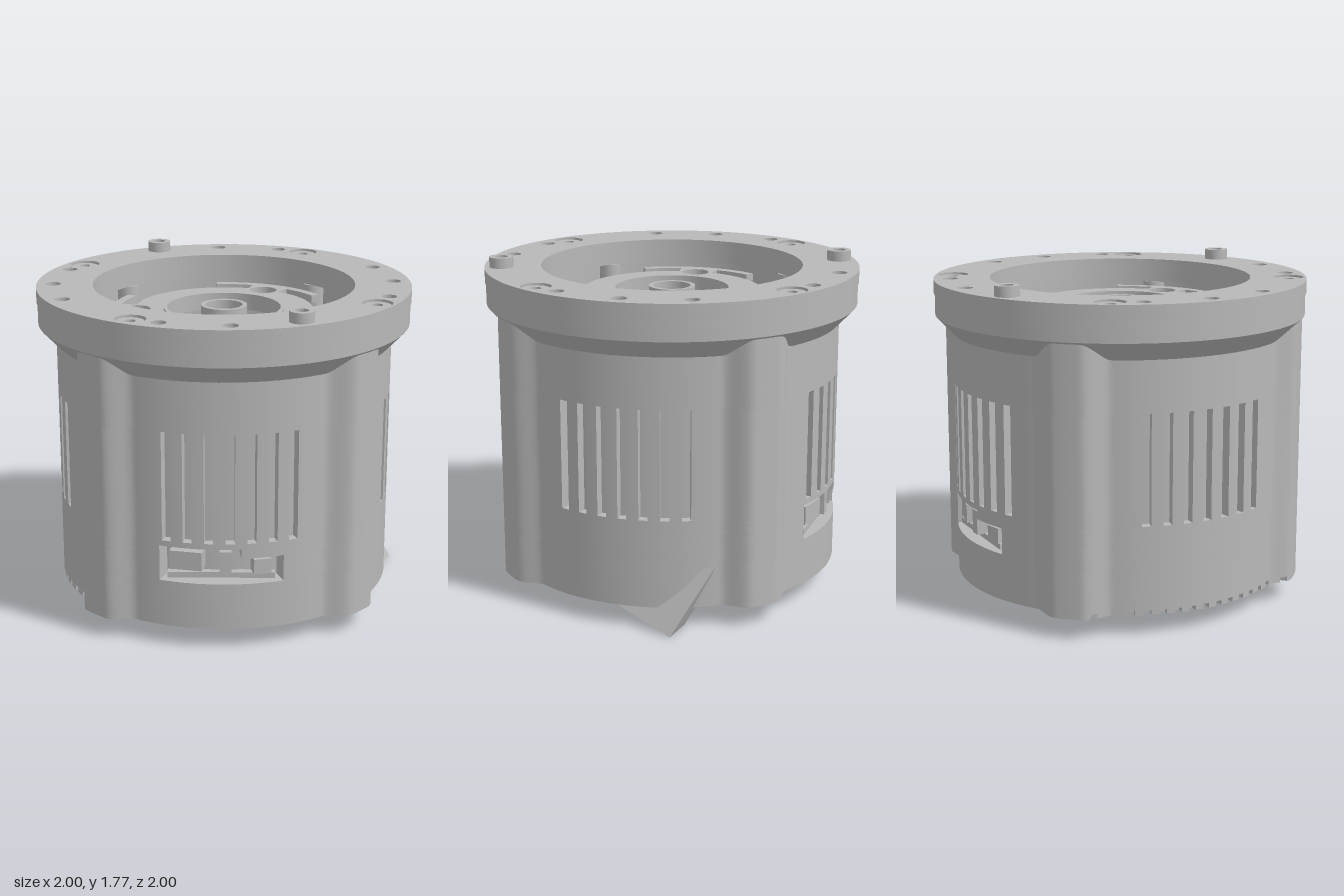
import * as THREE from 'three';
import { toCreasedNormals } from 'three/addons/utils/BufferGeometryUtils.js';
import { ConvexGeometry } from 'three/addons/geometries/ConvexGeometry.js';

const RAD = Math.PI / 180;
// Plan point: angle in degrees from +z towards +x, mapped into the extrusion plane
const plan = (deg, r) => new THREE.Vector2(r * Math.sin(deg * RAD), -r * Math.cos(deg * RAD));
const circle = (r, deg = 0, dist = 0) => {
  const c = plan(deg, dist);
  return new THREE.Path().absarc(c.x, c.y, r, 0, Math.PI * 2, true);
};

// Round body with four raised lobes on the axes
function bodyRadius(deg) {
  const off = Math.abs(((deg + 45) % 90 + 90) % 90 - 45);
  return 0.9 + 0.085 * (1 - THREE.MathUtils.smoothstep(off, 4, 13));
}

// Body outline with rectangular notches [startDeg, endDeg, floorRadius]
function bodyShape(notches = []) {
  const pts = [];
  for (let i = 0; i < 360; i++) {
    if (!notches.some(([a, b]) => i >= a && i <= b)) pts.push([i, bodyRadius(i)]);
  }
  for (const [a, b, r] of notches) {
    pts.push([a, bodyRadius(a)], [a, r]);
    for (let i = Math.floor(a) + 1; i < b; i++) pts.push([i, r]);
    pts.push([b, r], [b, bodyRadius(b)]);
  }
  pts.sort((p, q) => p[0] - q[0]);
  return new THREE.Shape(pts.map(([d, r]) => plan(d, r)));
}

export function createModel() {
  const model = new THREE.Group();
  const grey = new THREE.MeshStandardMaterial({ color: 0xb8b8b8 });
  grey.name = 'grey';

  const add = (name, geometry, x = 0, y = 0, z = 0) => {
    const mesh = new THREE.Mesh(geometry, grey);
    mesh.name = name;
    mesh.position.set(x, y, z);
    model.add(mesh);
    return mesh;
  };
  const addPolar = (name, geometry, deg, r, y) =>
    add(name, geometry, r * Math.sin(deg * RAD), y, r * Math.cos(deg * RAD));
  const slab = (name, shape, y0, y1, holes = []) => {
    shape.holes.push(...holes);
    const g = new THREE.ExtrudeGeometry(shape, { depth: y1 - y0, bevelEnabled: false, curveSegments: 48 });
    g.rotateX(-Math.PI / 2);
    return add(name, toCreasedNormals(g, 0.5), 0, y0, 0);
  };
  const lathe = (profile, segments = 96) => toCreasedNormals(
    new THREE.LatheGeometry(profile.map(([r, y]) => new THREE.Vector2(r, y)), segments), 0.4);
  const tube = (inner, outer, y0, y1, seg = 32) =>
    lathe([[inner, y0], [outer, y0], [outer, y1], [inner, y1], [inner, y0]], seg);

  // Underside with cooling grooves that open through the rim
  const rimNotches = [], underHoles = [circle(0.11)];
  for (let i = 0; i < 4; i++) underHoles.push(circle(0.04, i * 90, 0.88));
  for (let j = -7; j <= 7; j++) {
    const off = j * 0.075;
    const mid = 315 + Math.asin(off / 0.86) / RAD;
    rimNotches.push([mid - 1.1, mid + 1.1, 0.86]);
    const end = Math.sqrt(0.84 ** 2 - off * off);
    const groove = [[off - 0.016, 0.36], [off + 0.016, 0.36], [off + 0.016, end], [off - 0.016, end]]
      .map(([s, d]) => new THREE.Vector2((s - d) * Math.SQRT1_2, -(s + d) * Math.SQRT1_2));
    underHoles.push(new THREE.Path(groove));
  }
  slab('underside', bodyShape(rimNotches), 0.11, 0.135, underHoles);
  slab('base', bodyShape(), 0.135, 0.36, [circle(0.11)]);

  // Walls in layers: port pockets on two diagonals, seven vents on all four
  const ports = (a, b) => [0, 180].map(t => [t + a, t + b, 0.8]);
  const vents = [];
  for (let q = 0; q < 4; q++) {
    for (let k = -3; k <= 3; k++) {
      const mid = q * 90 + 45 + k * 7;
      vents.push([mid - 1.5, mid + 1.5, 0.85]);
    }
  }
  const wall = (name, notches, y0, y1) => slab(name, bodyShape(notches), y0, y1, [circle(0.78)]);
  wall('portWall', ports(21.5, 62.7), 0.36, 0.5);
  wall('portWallUpper', ports(21.5, 48.6), 0.5, 0.55);
  wall('wallBand', [], 0.55, 0.58);
  wall('ventWall', vents, 0.58, 1.16);
  wall('upperWall', [], 1.16, 1.53);

  // Connectors inside the port pockets: angle, width, height, centre height
  for (const turn of [0, 180]) {
    for (const [deg, w, h, y] of [[30, 0.17, 0.1, 0.47], [43.5, 0.06, 0.13, 0.46], [56, 0.09, 0.08, 0.44]]) {
      const box = addPolar('connector', new THREE.BoxGeometry(w, h, 0.09), deg + turn, 0.83, y);
      box.rotation.y = (deg + turn) * RAD;
    }
    const lip = addPolar('connectorLip', new THREE.BoxGeometry(0.55, 0.03, 0.04), 42 + turn, 0.815, 0.385);
    lip.rotation.y = (42 + turn) * RAD;
  }

  // Flange: chamfered collar below, drilled ring above
  add('flangeCollar', lathe([[0.7, 1.59], [0.78, 1.59], [0.78, 1.43], [0.9, 1.43],
    [0.995, 1.53], [0.995, 1.645], [0.7, 1.645], [0.7, 1.59]]));
  const bossAngles = [67.5, 247.5], screwAngles = [12.5, 102.5, 192.5, 282.5];
  const drilled = screwAngles.map(d => circle(0.08, d, 0.905));
  for (let q = 0; q < 4; q++) {
    for (const a of [22.5, 45, 67.5]) {
      if (!bossAngles.includes(q * 90 + a)) drilled.push(circle(0.04, q * 90 + a, 0.91));
    }
  }
  const ring = new THREE.Shape().absarc(0, 0, 1, 0, Math.PI * 2, false);
  slab('flangeRing', ring, 1.645, 1.72, [circle(0.7), ...drilled]);
  for (const d of screwAngles) addPolar('screwHead', tube(0.028, 0.07, 0, 0.065, 24), d, 0.905, 1.645);
  for (const d of bossAngles) addPolar('locatingBoss', tube(0.035, 0.064, 0, 0.075, 24), d, 0.91, 1.7);

  // Inner carrier plate: ring with three pads, each with a curved arm to both sides
  const outline = [];
  for (const mid of [75, 195, 315]) {
    const arc = (from, to, r) => {
      const n = 10;
      for (let i = 0; i <= n; i++) outline.push(plan(mid + from + (to - from) * i / n, r));
    };
    arc(-58, -11, 0.48);
    arc(-11, -32, 0.56);
    arc(-32, 32, 0.61);
    arc(32, 11, 0.56);
    arc(11, 58, 0.48);
    addPolar('carrierLeg', new THREE.CylinderGeometry(0.025, 0.025, 1.18, 16), mid, 0.58, 0.95);
  }
  slab('carrierPlate', new THREE.Shape(outline), 1.54, 1.58,
    [circle(0.31), ...[75, 195, 315].map(d => circle(0.075, d, 0.47))]);
  add('carrierRim', tube(0.305, 0.325, 1.5, 1.59, 64));
  add('centreTube', tube(0.1, 0.125, 0.35, 1.6, 48));
  for (let i = 0; i < 4; i++) {
    addPolar('innerPost', new THREE.CylinderGeometry(0.06, 0.06, 1.24, 20), i * 90, 0.745, 0.97);
  }

  // Pointed foot at the back of the base
  const foot = [[0.24, 0.34, -0.9], [0.5, 0, -0.89], [0.36, 0, -0.79], [0.68, 0.115, -0.42], [0.23, 0.115, -0.75]];
  add('foot', new ConvexGeometry(foot.map(p => new THREE.Vector3(...p))));

  return model;
}
